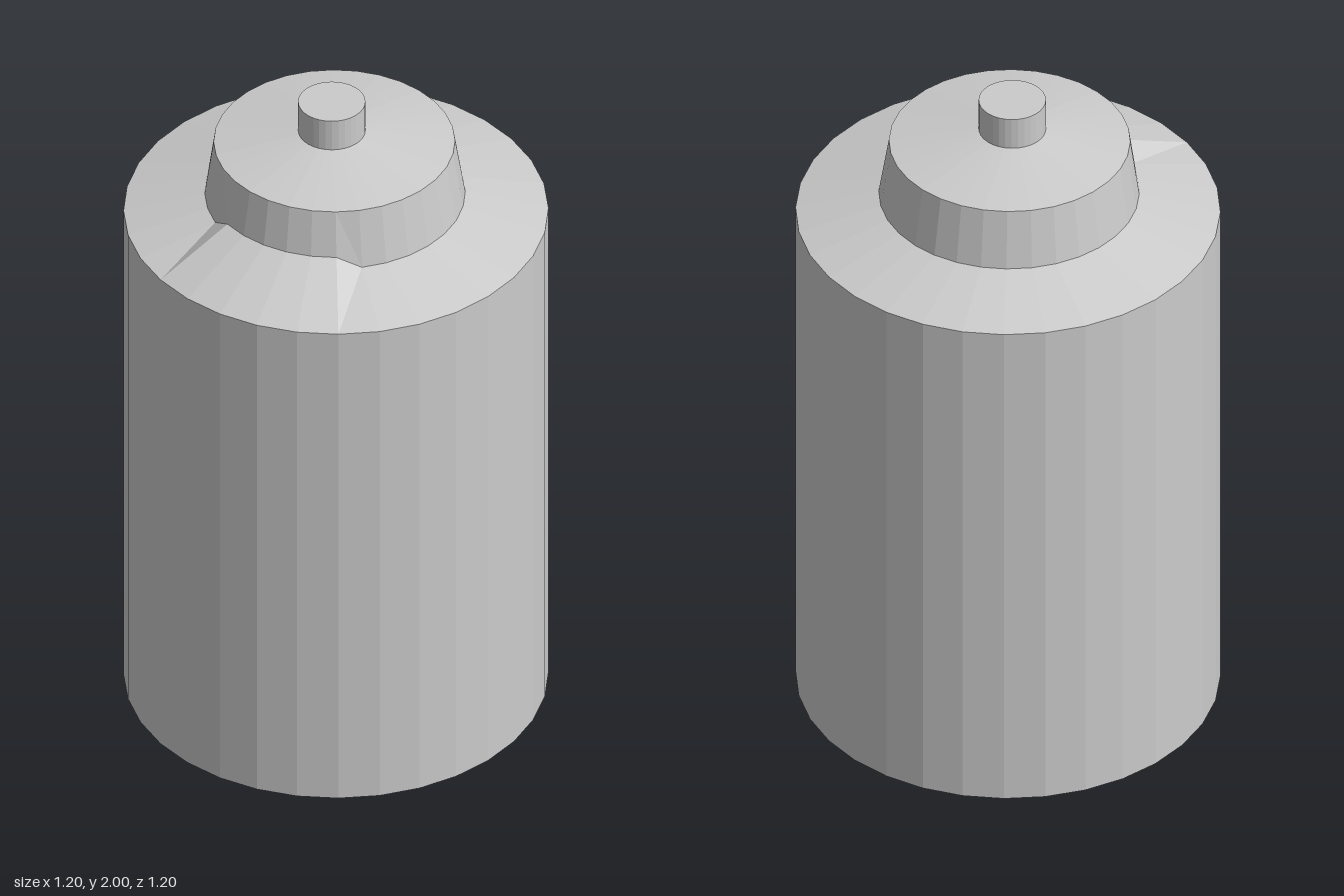
import * as THREE from 'three';

const SIDES = 32;

// One horizontal ring, starting at -x and running past the front (+z).
function ring(radius, height, cx = 0, lift = () => 0) {
  return Array.from({ length: SIDES }, (_, i) => {
    const a = (i / SIDES) * Math.PI * 2;
    return new THREE.Vector3(cx - radius * Math.cos(a), height + lift(i), radius * Math.sin(a));
  });
}

// Faceted wall between two rings; the diagonal follows the higher upper corner.
function wall(lower, upper) {
  const points = [];
  for (let i = 0; i < SIDES; i++) {
    const j = (i + 1) % SIDES;
    const [a, b, c, d] = [lower[i], lower[j], upper[j], upper[i]];
    if (d.y > c.y + 1e-6) points.push(a, b, c, a, c, d);
    else points.push(a, b, d, b, c, d);
  }
  return points;
}

// Flat disc closing a ring, facing up or down.
function disc(edge, up) {
  const points = [];
  for (let i = 1; i < SIDES - 1; i++) {
    points.push(edge[0], edge[up ? i : i + 1], edge[up ? i + 1 : i]);
  }
  return points;
}

export function createModel() {
  const group = new THREE.Group();
  const material = new THREE.MeshStandardMaterial({ color: 0xcccccc, flatShading: true });

  const add = (name, ...pointLists) => {
    const geometry = new THREE.BufferGeometry().setFromPoints(pointLists.flat());
    geometry.computeVertexNormals();
    const mesh = new THREE.Mesh(geometry, material);
    mesh.name = name;
    group.add(mesh);
  };

  // The shoulder is raised against the collar over one front sector.
  const raised = (i) => (i >= 1 && i <= 6 ? 0.04 : 0);

  const base = ring(0.6, 0);
  const rim = ring(0.6, 1.62);
  const neck = ring(0.368, 1.68, -0.003, raised);
  const collarTop = ring(0.341, 1.86, -0.005);
  const knobBase = ring(0.095, 1.9, -0.013);
  const knobTop = ring(0.095, 2, -0.013);

  add('body', wall(base, rim), disc(base, false));
  add('shoulder', wall(rim, neck));
  add('collar', wall(neck, collarTop));
  add('cap', wall(collarTop, knobBase));
  add('knob', wall(knobBase, knobTop), disc(knobTop, true));

  return group;
}
